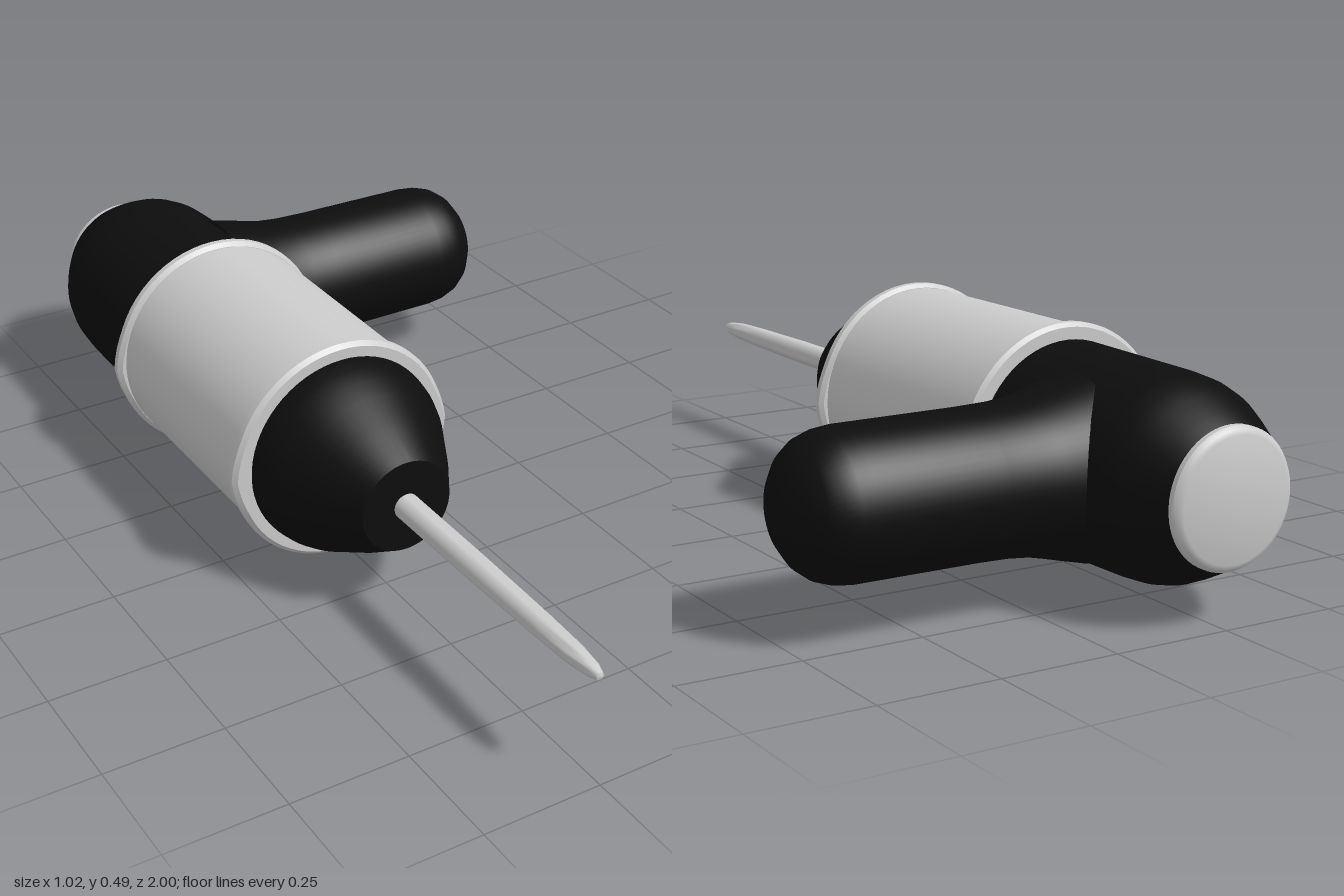
import * as THREE from 'three';
import { toCreasedNormals } from 'three/addons/utils/BufferGeometryUtils.js';

const AXIS_X = -0.26, AXIS_Y = 0.246, HANDLE_Z = -0.66;
const grey = new THREE.MeshStandardMaterial({ color: 0xcccccc });
const black = new THREE.MeshStandardMaterial({ color: 0x0d0d0d });

// Turned solid: profile is [radius, position along axis], rising along the axis
function turned(profile, segments, crease = 0.6) {
  const points = profile.map(([r, t]) => new THREE.Vector2(r, t));
  return toCreasedNormals(new THREE.LatheGeometry(points, segments), crease);
}

export function createModel() {
  const group = new THREE.Group();
  const add = (name, geometry, material) => {
    const mesh = new THREE.Mesh(geometry, material);
    mesh.name = name;
    group.add(mesh);
    return mesh;
  };
  const addAlongZ = (name, profile, material, segments = 64) => {
    const geometry = turned(profile, segments).rotateX(Math.PI / 2);
    return add(name, geometry.translate(AXIS_X, AXIS_Y, 0), material);
  };

  // Motor housing
  addAlongZ('motorHousing', [[0, -0.47], [0.235, -0.47], [0.235, 0.09], [0, 0.09]], grey);

  // Collars at both ends of the housing, drawn out to a slight point on each side
  const collar = [[0.205, -0.015], [0.236, -0.015], [0.245, -0.008], [0.245, 0.006],
    [0.236, 0.015], [0.205, 0.015]];
  for (const [name, z] of [['frontCollar', 0.085], ['rearCollar', -0.467]]) {
    const geometry = turned(collar, 64);
    const p = geometry.attributes.position;
    for (let i = 0; i < p.count; i++) {
      const angle = Math.atan2(Math.abs(p.getZ(i)), Math.abs(p.getX(i)));
      const r = Math.hypot(p.getX(i), p.getZ(i));
      if (r > 0.22) p.setX(i, p.getX(i) * (1 + 0.036 * Math.max(0, 1 - angle / 0.35)));
    }
    geometry.rotateX(Math.PI / 2).translate(AXIS_X, AXIS_Y, z);
    add(name, geometry, grey);
  }

  // Tapered nose and bit
  addAlongZ('nose', [[0, 0.06], [0.213, 0.06], [0.213, 0.11], [0.208, 0.14], [0.196, 0.175],
    [0.178, 0.21], [0.142, 0.28], [0.1, 0.35], [0, 0.35]], black);
  addAlongZ('bit', [[0, 0.33], [0.028, 0.33], [0.027, 0.6], [0.024, 0.82], [0.021, 0.92],
    [0.015, 0.975], [0.008, 0.996], [0, 1]], grey, 24);

  // Rear housing and its end cap
  addAlongZ('rearHousing', [[0, -0.98], [0.136, -0.98], [0.152, -0.955], [0.178, -0.905],
    [0.193, -0.872], [0.202, -0.835], [0.206, -0.78], [0.211, -0.45], [0, -0.45]], black);
  addAlongZ('endCap', [[0, -1], [0.122, -1], [0.132, -0.996], [0.138, -0.988], [0.138, -0.975],
    [0, -0.975]], grey);

  // Side grip, flaring where it joins the rear housing
  const grip = turned([[0, -0.17], [0.185, -0.15], [0.173, -0.1], [0.163, -0.06], [0.154, -0.02],
    [0.149, 0.03], [0.147, 0.1], [0.146, 0.37], [0.142, 0.405], [0.132, 0.435], [0.114, 0.46],
    [0.085, 0.482], [0.045, 0.5], [0, 0.51]], 64, 0.8);
  add('sideGrip', grip.rotateZ(-Math.PI / 2).translate(0, AXIS_Y, HANDLE_Z), black);

  return group;
}
